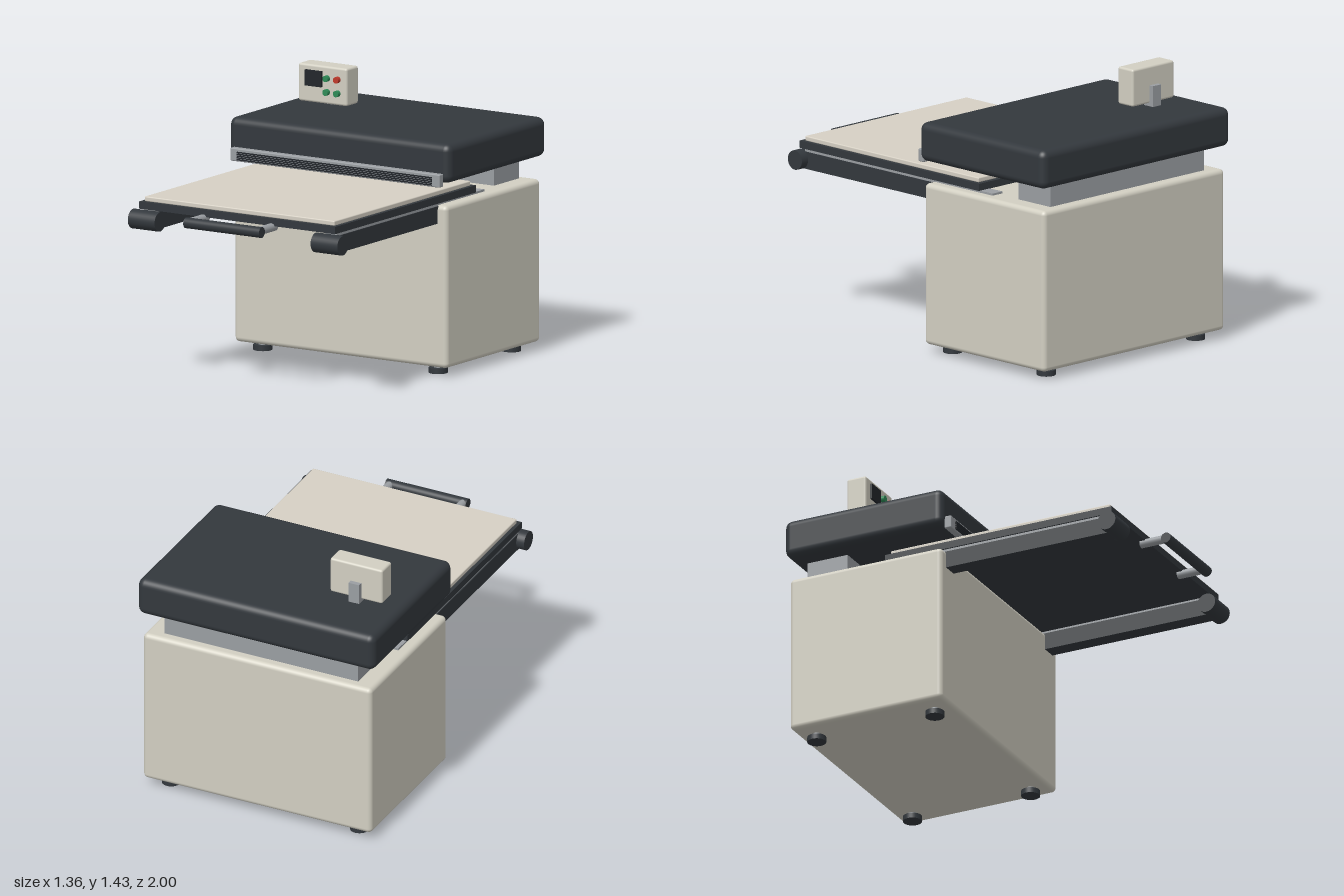
import * as THREE from 'three';
import { RoundedBoxGeometry } from 'three/addons/geometries/RoundedBoxGeometry.js';

const paint = (color) => new THREE.MeshStandardMaterial({ color });

export function createModel() {
  const model = new THREE.Group();
  model.name = 'heatPress';
  const cream = paint(0xd2cfc2), padCloth = paint(0xd6d0c4), dark = paint(0x33383d);
  const black = paint(0x22262b), steel = paint(0x9a9ea2), green = paint(0x2e8b57), red = paint(0xc0392b);

  const add = (name, geometry, material, x, y, z) => {
    const mesh = new THREE.Mesh(geometry, material);
    mesh.name = name;
    mesh.position.set(x, y, z);
    model.add(mesh);
    return mesh;
  };
  // Box given by its limits on each axis; a radius rounds its edges
  const box = (name, material, [x0, x1], [y0, y1], [z0, z1], radius = 0) => {
    const size = [x1 - x0, y1 - y0, z1 - z0];
    const geometry = radius ? new RoundedBoxGeometry(...size, 4, radius) : new THREE.BoxGeometry(...size);
    return add(name, geometry, material, (x0 + x1) / 2, (y0 + y1) / 2, (z0 + z1) / 2);
  };
  // Cylinder along the given axis
  const rod = (name, material, axis, radius, length, x, y, z) => {
    const geometry = new THREE.CylinderGeometry(radius, radius, length, 32);
    if (axis === 'x') geometry.rotateZ(Math.PI / 2);
    if (axis === 'z') geometry.rotateX(Math.PI / 2);
    return add(name, geometry, material, x, y, z);
  };

  // Cabinet on four levelling feet
  box('cabinet', cream, [-0.655, 0.655], [0.045, 0.895], [-0.98, -0.105], 0.025);
  for (const x of [-0.54, 0.54]) {
    for (const z of [-0.2, -0.88]) {
      rod('footPad', dark, 'y', 0.049, 0.028, x, 0.014, z);
      rod('footStem', steel, 'y', 0.022, 0.03, x, 0.037, z);
    }
  }

  // Neck and heating head
  box('neck', steel, [-0.555, 0.555], [0.88, 1.03], [-0.925, -0.695]);
  box('pressHead', dark, [-0.68, 0.68], [1.015, 1.22], [-1, -0.09], 0.04);

  // Vent bar under the front edge of the head, with dark louvres
  box('ventBar', steel, [-0.645, 0.645], [1.0, 1.068], [-0.092, -0.054], 0.006);
  for (let i = 0; i < 5; i++) {
    const y = 1.008 + i * 0.0095;
    box('ventLouvre', black, [-0.6, 0.6], [y, y + 0.006], [-0.06, -0.046]);
  }

  // Sliding tray with its pad
  box('tray', dark, [-0.603, 0.603], [0.905, 0.943], [-0.455, 0.85]);
  box('pad', padCloth, [-0.585, 0.585], [0.942, 0.968], [-0.432, 0.83], 0.006);

  // Rails, support arms and end rollers on both sides
  for (const side of [-1, 1]) {
    const span = (a, b) => [Math.min(side * a, side * b), Math.max(side * a, side * b)];
    box('slideRail', steel, span(0.525, 0.595), [0.888, 0.906], [-0.545, 0.82]);
    box('supportArm', dark, span(0.515, 0.6), [0.8, 0.89], [-0.15, 0.85]);
    rod('endRoller', dark, 'x', 0.051, 0.165, side * 0.5625, 0.848, 0.842);
    rod('handleStem', steel, 'z', 0.022, 0.15, side * 0.21, 0.897, 0.895);
  }
  rod('handleGrip', dark, 'x', 0.028, 0.466, 0, 0.893, 0.972);

  // Control box on its bracket
  box('controlBracket', steel, [-0.455, -0.395], [1.2, 1.33], [-0.716, -0.65]);
  box('controlBox', cream, [-0.575, -0.275], [1.235, 1.432], [-0.69, -0.58], 0.012);
  box('screen', black, [-0.526, -0.426], [1.321, 1.404], [-0.585, -0.568]);
  for (const x of [-0.395, -0.33]) {
    for (const y of [1.37, 1.298]) {
      rod('button', x > -0.35 && y > 1.35 ? red : green, 'z', 0.0165, 0.03, x, y, -0.573);
    }
  }

  return model;
}
